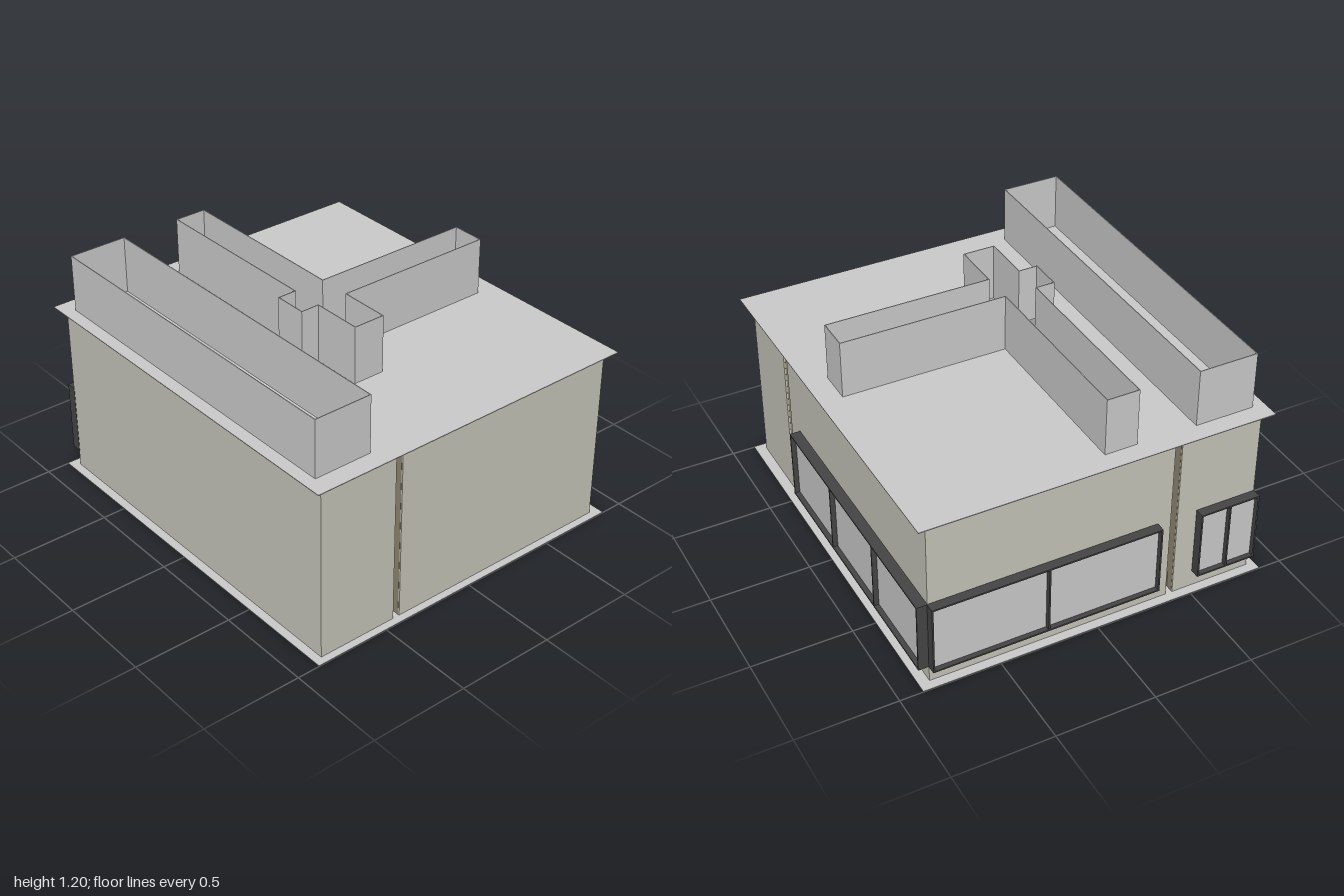
import * as THREE from 'three';

const mat = (color) => new THREE.MeshStandardMaterial({ color, side: THREE.DoubleSide });
const GREY = mat(0xcccccc), WALL = mat(0xc7c6bb), BROWN = mat(0x8f8871);
const DARK = mat(0x454545), BEAM = mat(0xdba52a), BLUE = mat(0x66778c);

const TOP = 0.905;
const rect = (x0, x1, z0, z1) => [[x0, z0], [x1, z0], [x1, z1], [x0, z1]];

export function createModel() {
  const model = new THREE.Group();

  // Box given by its limits on each axis
  function block(name, material, x0, x1, y0, y1, z0, z1, parent = model) {
    const m = new THREE.Mesh(new THREE.BoxGeometry(x1 - x0, y1 - y0, z1 - z0), material);
    m.position.set((x0 + x1) / 2, (y0 + y1) / 2, (z0 + z1) / 2);
    m.name = name;
    parent.add(m);
    return m;
  }

  // Horizontal slab with optional openings; its upper face is at y
  function slab(name, outline, y, thick, holes = []) {
    const points = (list) => list.map(([x, z]) => new THREE.Vector2(x, z));
    const shape = new THREE.Shape(points(outline));
    holes.forEach((h) => shape.holes.push(new THREE.Path(points(h))));
    const g = new THREE.ExtrudeGeometry(shape, { depth: thick, bevelEnabled: false });
    g.rotateX(Math.PI / 2).translate(0, y, 0);
    const m = new THREE.Mesh(g, GREY);
    m.name = name;
    model.add(m);
  }

  // Thin upright walls along an axis-aligned closed outline
  function enclosure(name, outline, material, y0, y1) {
    const group = new THREE.Group();
    const t = 0.002;
    group.name = name;
    outline.forEach(([xa, za], i) => {
      const [xb, zb] = outline[(i + 1) % outline.length];
      block(name + 'Side', material, Math.min(xa, xb) - t, Math.max(xa, xb) + t, y0, y1,
        Math.min(za, zb) - t, Math.max(za, zb) + t, group);
    });
    model.add(group);
  }

  // Projecting window: thin deep frame, fins between panes, panes set halfway in.
  // Local x runs along the wall, local z points outwards.
  function windowBay(name, width, panes) {
    const bay = new THREE.Group();
    const y0 = 0.09, y1 = 0.455, depth = 0.053, t = 0.004, w = width / 2;
    bay.name = name;
    for (let i = 0; i <= panes; i++) {
      const x = -w + (width * i) / panes;
      block('windowFin', DARK, x - t, x + t, y0, y1, 0, depth, bay);
    }
    for (const y of [y0, y1 - 2 * t]) block('windowRail', DARK, -w, w, y, y + 2 * t, 0, depth, bay);
    block('windowPane', GREY, -w, w, y0 + t, y1 - t, 0.024, 0.028, bay);
    model.add(bay);
    return bay;
  }

  // Floor and roof plates; the roof opens into the cross-shaped skylight
  const plate = rect(-0.885, 0.885, -1, 1);
  const cross = [
    [-0.22, -0.9], [-0.06, -0.9], [-0.06, 0.02], [0.77, 0.02], [0.77, 0.185], [-0.06, 0.185],
    [-0.06, 0.44], [-0.22, 0.44], [-0.22, 0.185], [-0.315, 0.185], [-0.315, 0.02], [-0.22, 0.02],
  ];
  slab('floorPlate', plate, 0.004, 0.004);
  slab('roofPlate', plate, TOP + 0.002, 0.004, [cross]);

  // Three hollow volumes divided by narrow slots
  enclosure('sideVolume', rect(-0.84, -0.43, -0.95, 0.96), WALL, 0, TOP);
  enclosure('frontVolume', rect(-0.39, 0.83, 0.595, 0.96), WALL, 0, TOP);
  enclosure('mainVolume', rect(-0.39, 0.83, -0.95, 0.55), WALL, 0, TOP);

  // Open-topped roof shafts
  enclosure('crossSkylight', cross, GREY, TOP, 1.198);
  enclosure('longSkylight', rect(-0.82, -0.525, -0.905, 0.9), GREY, TOP, 1.198);

  // Slot linings, low panels and sills at the front and back ends
  for (const [z0, z1] of [[0.86, 0.955], [-0.945, -0.85]]) {
    block('slotJamb', BROWN, -0.43, -0.427, 0, TOP, z0, z1);
    block('slotJamb', BROWN, -0.393, -0.39, 0, TOP, z0, z1);
    const zm = (z0 + z1) / 2;
    block('slotSill', BROWN, -0.43, -0.39, 0, 0.09, zm - 0.01, zm + 0.01);
    block('slotPanel', GREY, -0.43, -0.39, 0.09, 0.455, zm - 0.003, zm + 0.003);
  }
  // Side slot lining and lintel
  block('slotJamb', BROWN, 0.72, 0.825, 0, TOP, 0.55, 0.553);
  block('slotJamb', BROWN, 0.72, 0.825, 0, TOP, 0.592, 0.595);
  block('slotLintel', BROWN, 0.76, 0.78, 0.84, TOP, 0.55, 0.595);

  // Windows on the right-hand wall and the back
  const sideWindow = windowBay('sideWindow', 1.39, 3);
  sideWindow.rotation.y = Math.PI / 2;
  sideWindow.position.set(0.832, 0, -0.255);
  const backWindow = windowBay('backWindow', 1.15, 2);
  backWindow.rotation.y = Math.PI;
  backWindow.position.set(0.255, 0, -0.947);
  const smallWindow = windowBay('smallBackWindow', 0.305, 2);
  smallWindow.rotation.y = Math.PI;
  smallWindow.position.set(-0.687, 0, -0.947);

  // Beams inside, beneath the skylight
  const b = 0.011;
  for (const x of [-0.172, -0.115]) block('longBeam', BEAM, x - b, x + b, 0.86, 0.885, -0.945, 0.545);
  for (const z of [-0.893, -0.84]) block('crossBeam', BEAM, -0.385, 0.825, 0.83, 0.855, z - b, z + b);
  for (const x of [0.255, 0.68, 0.73]) block('armBeam', BEAM, x - b, x + b, 0.86, 0.885, -0.945, 0.545);

  // Low pieces standing on the inner floor
  block('innerBar', DARK, -0.25, -0.03, 0.004, 0.06, -0.685, -0.655);
  block('innerBench', BLUE, -0.16, -0.04, 0.004, 0.1, 0.25, 0.41);
  return model;
}
